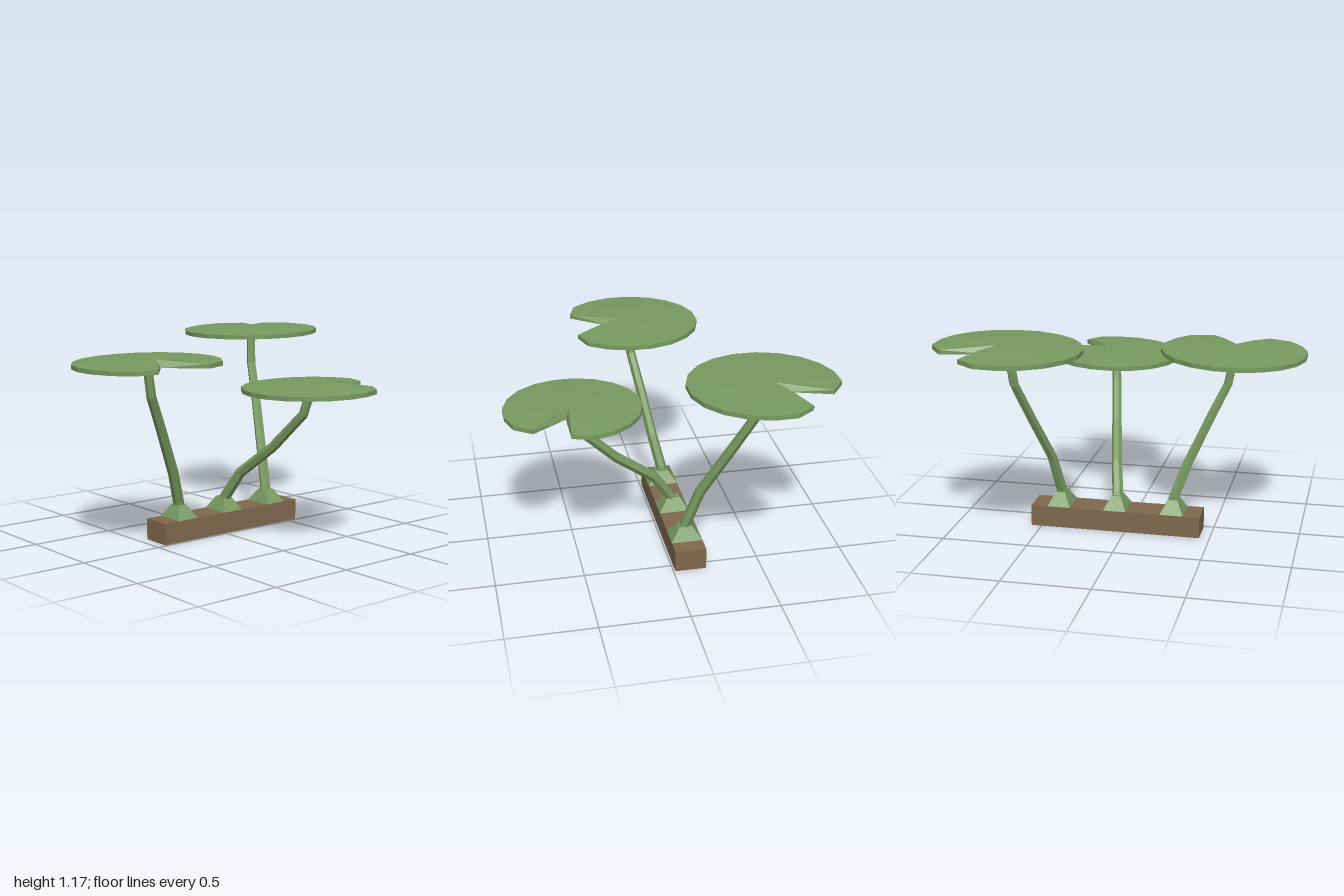
import * as THREE from 'three';

const green = new THREE.MeshStandardMaterial({ color: 0x789a60, flatShading: true });
const brown = new THREE.MeshStandardMaterial({ color: 0x80694e, flatShading: true });

function add(parent, name, geometry, material) {
  const mesh = new THREE.Mesh(geometry, material);
  mesh.name = name;
  parent.add(mesh);
  return mesh;
}

// Polyline with kept corners, so a tube bends sharply at each knot
class Polyline extends THREE.Curve {
  constructor(points) { super(); this.points = points; }
  getPointAt(u) { return this.points[Math.round(u * (this.points.length - 1))].clone(); }
  getTangentAt(u) {
    const p = this.points, i = Math.round(u * (p.length - 1));
    const t = new THREE.Vector3();
    if (i > 0) t.add(p[i].clone().sub(p[i - 1]).normalize());
    if (i < p.length - 1) t.add(p[i + 1].clone().sub(p[i]).normalize());
    return t.normalize();
  }
}

// Six-sided stem tapering toward the leaf
function stemGeometry(path) {
  const points = path.map((p) => new THREE.Vector3(...p));
  const sides = 6, segments = points.length - 1;
  const geometry = new THREE.TubeGeometry(new Polyline(points), segments, 0.034, sides, false);
  const pos = geometry.attributes.position, v = new THREE.Vector3();
  for (let i = 0; i < pos.count; i++) {
    const ring = Math.floor(i / (sides + 1));
    const centre = points[ring];
    v.fromBufferAttribute(pos, i).sub(centre).multiplyScalar(1 - 0.24 * ring / segments).add(centre);
    pos.setXYZ(i, v.x, v.y, v.z);
  }
  return geometry;
}

// Notched 20-sided disc, slightly domed; the notch opens toward +x before turning
function padGeometry(radius, cutSegments) {
  const step = Math.PI / 10, thick = 0.025, rise = 0.018;
  const count = 20 - cutSegments;
  const outline = [];
  for (let i = 0; i <= count; i++) {
    const a = (cutSegments / 2 + i) * step;
    const r = radius * (i === 0 || i === count ? 0.9 : 1);
    outline.push([r * Math.cos(a), r * Math.sin(a)]);
  }
  const tip = 0.17 * radius, lowTip = 0.3 * radius;
  const positions = [];
  const n = count + 1;
  // rings: lower rim, upper rim, dome ring; then upper and lower tips
  for (const [scale, y] of [[1, 0], [1, thick], [0.5, thick + rise * 0.8]]) {
    for (const [x, z] of outline) positions.push(tip + (x - tip) * scale, y, z * scale);
  }
  positions.push(tip, thick + rise, 0, lowTip, 0, 0);
  const top = 3 * n, low = top + 1;
  const index = [];
  for (let i = 0; i < count; i++) {
    for (let k = 0; k < 2; k++) {
      const a = k * n + i, b = a + n;
      index.push(a, b, a + 1, a + 1, b, b + 1);
    }
    index.push(2 * n + i, top, 2 * n + i + 1);
    index.push(low, i, i + 1);
  }
  // notch walls
  const e = count;
  index.push(low, n, 0, low, top, n, n, top, 2 * n);
  index.push(low, e, n + e, low, n + e, top, n + e, 2 * n + e, top);
  const geometry = new THREE.BufferGeometry();
  geometry.setAttribute('position', new THREE.Float32BufferAttribute(positions, 3));
  geometry.setIndex(index);
  geometry.computeVertexNormals();
  return geometry;
}

// notch angle is measured from +x toward +z
const plants = [
  {
    name: 'rightPlant', foot: -0.275, pad: [-0.59, 1.044, 0.037], radius: 0.414, cut: 3, notch: 90,
    path: [[-0.26, 0.14, -0.11], [-0.28, 0.22, -0.1], [-0.345, 0.4, -0.06], [-0.465, 0.67, -0.01],
      [-0.56, 0.87, 0.03], [-0.592, 1.05, 0.04]],
  },
  {
    name: 'middlePlant', foot: 0.06, pad: [0.197, 0.887, 0.496], radius: 0.387, cut: 2, notch: 27,
    path: [[0.055, 0.14, -0.12], [0.062, 0.21, -0.08], [0.09, 0.36, 0.02], [0.14, 0.54, 0.25],
      [0.185, 0.75, 0.455], [0.2, 0.892, 0.5]],
  },
  {
    name: 'leftPlant', foot: 0.395, pad: [0.586, 1.122, -0.475], radius: 0.415, cut: 2, notch: -45,
    path: [[0.385, 0.14, -0.09], [0.395, 0.21, -0.105], [0.427, 0.43, -0.18], [0.505, 0.7, -0.32],
      [0.565, 0.93, -0.44], [0.586, 1.128, -0.468]],
  },
];

export function createModel() {
  const model = new THREE.Group();
  model.name = 'lilyPads';

  const base = add(model, 'base', new THREE.BoxGeometry(1, 0.125, 0.178), brown);
  base.position.set(0.06, 0.0625, -0.1);

  for (const plant of plants) {
    const group = new THREE.Group();
    group.name = plant.name;
    model.add(group);

    // pyramid foot spanning the depth of the base
    const footShape = new THREE.CylinderGeometry(0.42 * Math.SQRT1_2, Math.SQRT1_2, 0.075, 4);
    footShape.rotateY(Math.PI / 4).scale(0.134, 1, 0.178);
    const foot = add(group, 'foot', footShape, green);
    foot.position.set(plant.foot, 0.1625, -0.1);

    add(group, 'stem', stemGeometry(plant.path), green);

    const padShape = padGeometry(plant.radius, plant.cut);
    padShape.rotateY(-THREE.MathUtils.degToRad(plant.notch));
    const pad = add(group, 'leafPad', padShape, green);
    pad.position.set(...plant.pad);
    pad.rotation.z = 0.02;
  }
  return model;
}
